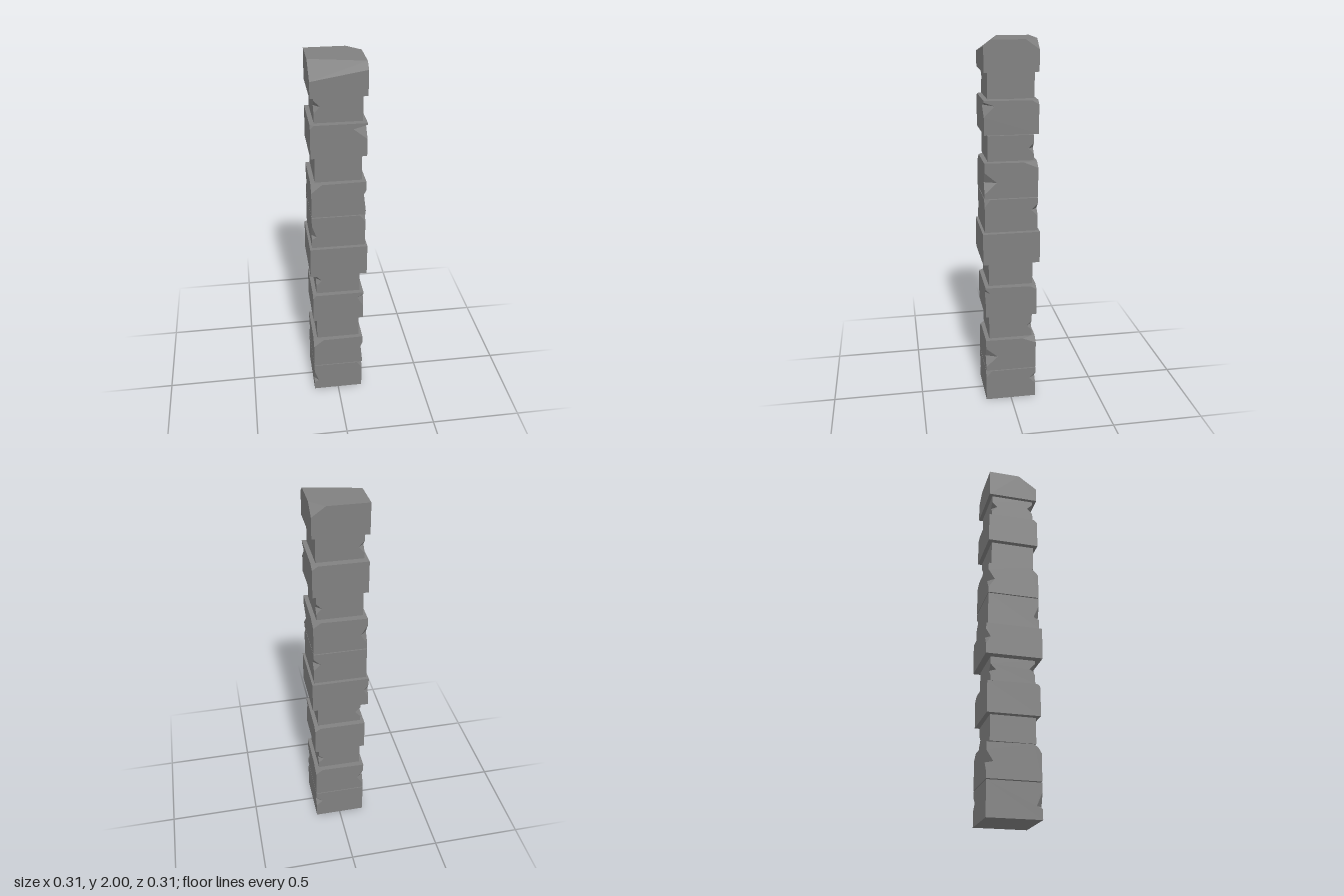
import * as THREE from 'three';
import { ConvexGeometry } from 'three/addons/geometries/ConvexGeometry.js';

// Corners run counter-clockwise seen from above; side k joins corner k to k + 1.
const CORNERS = [[1, 1], [1, -1], [-1, -1], [-1, 1]];
const notch = (lo, mid, hi, dx, dz) => ({ lo, mid, hi, dx, dz });
const chip = (drop, dx, dz) => ({ drop, dx, dz });

// Square stone block with a slightly tilted top; each corner may carry a V notch or a chipped top.
function blockGeometry(half, y0, y1, tilt, damage) {
  const out = [];
  const tri = (...pts) => pts.forEach((p) => out.push(p.x, p.y, p.z));
  const topY = (x, z) => y1 + tilt[0] * x + tilt[1] * z;
  const at = (k, y, dx = 0, dz = 0) => {
    const [sx, sz] = CORNERS[k];
    const x = sx * (half - dx), z = sz * (half - dz);
    return new THREE.Vector3(x, y === null ? topY(x, z) : y, z);
  };
  // Point moved away from corner k along one of its two sides
  const along = (k, side, y) => {
    const d = damage[k];
    return side % 2 === 0 ? at(k, y, 0, d.dz) : at(k, y, d.dx, 0);
  };
  // Outline of corner k on a side, from bottom to top
  const column = (k, side) => {
    const d = damage[k], pts = [at(k, y0)];
    if (d && d.mid !== undefined) pts.push(at(k, d.lo), along(k, side, d.mid), at(k, d.hi));
    if (d && d.drop) pts.push(at(k, topY(...at(k, 0).toArray().filter((_, i) => i !== 1)) - d.drop), along(k, side, null));
    else pts.push(at(k, null));
    return pts;
  };

  const top = [];
  for (let k = 0; k < 4; k++) {
    const next = (k + 1) % 4, prev = (k + 3) % 4, d = damage[k];
    // Side face
    const loop = [...column(next, k), ...column(k, k).reverse()];
    const a = at(k, 0), dir = at(next, 0).sub(a).normalize();
    const flat = loop.map((p) => new THREE.Vector2((p.x - a.x) * dir.x + (p.z - a.z) * dir.z, p.y));
    THREE.ShapeUtils.triangulateShape(flat, []).forEach((f) => tri(...f.map((i) => loop[i])));
    // Broken faces at the corner
    if (d && d.mid !== undefined) {
      const right = along(k, k, d.mid), left = along(k, prev, d.mid);
      tri(at(k, d.lo), right, left);
      tri(at(k, d.hi), left, right);
    }
    if (d && d.drop) {
      const right = along(k, k, null), left = along(k, prev, null);
      tri(column(k, k).at(-2), right, left);
      top.push(left, right);
    } else top.push(at(k, null));
  }
  // Top and bottom
  for (let i = 1; i < top.length - 1; i++) tri(top[0], top[i], top[i + 1]);
  tri(at(0, y0), at(2, y0), at(1, y0));
  tri(at(0, y0), at(3, y0), at(2, y0));

  const geo = new THREE.BufferGeometry();
  geo.setAttribute('position', new THREE.Float32BufferAttribute(out, 3));
  geo.computeVertexNormals();
  return geo;
}

export function createModel() {
  const model = new THREE.Group();
  model.name = 'stonePillar';
  const stone = new THREE.MeshStandardMaterial({ color: 0x808080 });
  stone.name = 'stone grey';
  const add = (name, geo) => {
    const mesh = new THREE.Mesh(geo, stone);
    mesh.name = name;
    model.add(mesh);
    return mesh;
  };

  // Five courses, laid twice; damage order: front +x, back +x, back -x, front -x
  const courses = (upper) => [
    ['baseBlock', 0.141, 0, 0.18, [0, 0],
      [chip(0.04, 0.03, 0.03), notch(0.08, 0.115, 0.15, 0.035, 0.035), null, notch(0.05, 0.065, 0.135, 0.024, 0.03)]],
    ['tallBlock', 0.141, 0.185, 0.371, [0.015, 0.015],
      [notch(0.21, 0.27, 0.325, 0.028, 0.065), chip(0.03, 0.04, 0.075), notch(0.215, 0.27, 0.325, 0.035, 0.035), chip(0.045, 0.055, 0.04)]],
    ['lowerNeckBlock', 0.12, 0.378, 0.513, [-0.015, 0],
      [null, notch(0.412, 0.44, 0.47, 0.028, 0.028), null, null]],
    ['wideBlock', 0.141, 0.519, 0.691, [0, 0.018],
      [upper ? notch(0.61, 0.665, 0.685, 0.07, 0.055) : notch(0.6, 0.66, 0.685, 0.035, 0.025),
        chip(0.02, 0.03, 0.035), null, chip(0.02, 0.018, 0.02)]],
    ['upperNeckBlock', 0.12, 0.698, 0.83, [0, 0],
      [null, null, notch(0.725, 0.76, 0.79, 0.03, 0.03), notch(0.745, 0.78, 0.812, 0.03, 0.03)]],
  ];
  for (const tier of [0, 1]) {
    for (const [name, half, y0, y1, tilt, damage] of courses(tier)) {
      add(name, blockGeometry(half, y0, y1, tilt, damage)).position.y = tier * 1.013;
    }
  }

  // Widest block at mid height
  add('middleBlock', blockGeometry(0.153, 0.834, 1.007, [0, 0],
    [null, null, notch(0.885, 0.93, 0.97, 0.025, 0.025), null]));

  // Capstone with a sloped front and one broken back corner
  const h = 0.14;
  add('capstone', new ConvexGeometry([
    ...CORNERS.map(([x, z]) => [x * h, 1.843, z * h]),
    [-h, 1.925, h], [h, 1.97, h], [-h, 2, 0.035], [h, 2, 0.099],
    [-h, 2, -h], [0.07, 2, -h], [h, 2, -0.07], [h, 1.95, -h],
  ].map((p) => new THREE.Vector3(...p))));

  // Inner core closing the joints
  const core = add('innerCore', new THREE.BoxGeometry(0.16, 1.86, 0.16));
  core.position.y = 0.95;
  return model;
}
